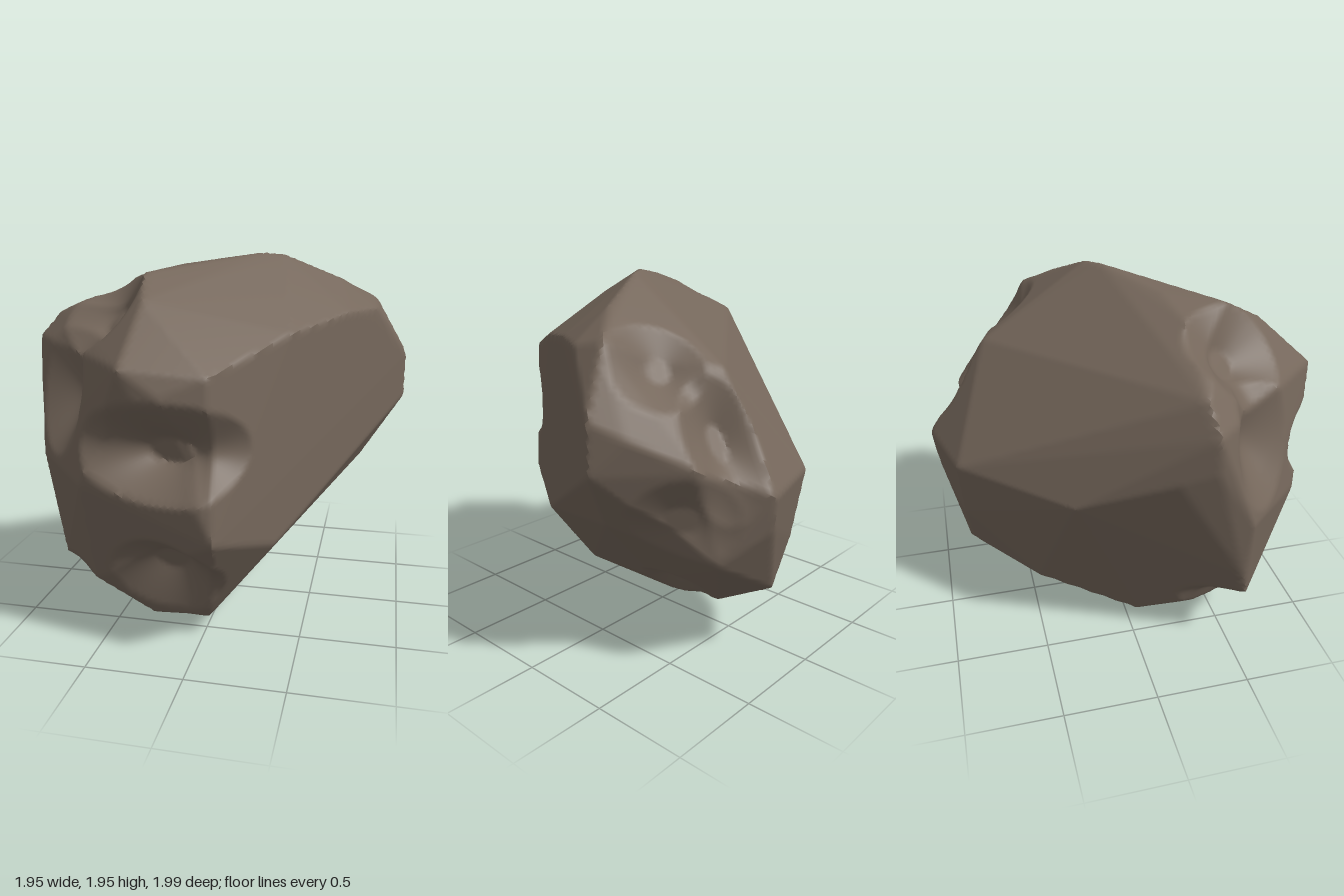
import * as THREE from 'three';
import { toCreasedNormals } from 'three/addons/utils/BufferGeometryUtils.js';
import { ConvexGeometry } from 'three/addons/geometries/ConvexGeometry.js';

const V = (a) => new THREE.Vector3(...a);

// corners of the boulder before chipping, by region
const CORNERS = [
  // flat right-hand cleavage face
  [0.11, 1.46, 0.93], [0.14, 0.68, 0.96], [0.98, 1.38, -0.44], [0.98, 1.13, -0.44], [0.37, 0.55, 0.57],
  [0.42, 1.6, 0.46], [0.67, 1.66, 0.05], [0.81, 1.66, -0.18], [0.62, 0.8, 0.15],
  // crest
  [0.2, 1.96, -0.02], [0.3, 1.95, -0.08], [-0.17, 1.91, 0.2], [-0.4, 1.85, 0.25], [-0.3, 1.88, 0.5],
  [0.6, 1.82, -0.2], [0.8, 1.7, -0.36],
  // blunt front
  [-0.25, 1.77, 0.7], [-0.28, 1.5, 1], [-0.1, 1.38, 1], [-0.54, 0.9, 0.86], [-0.54, 0.34, 0.7],
  // left end
  [-0.98, 1.52, 0.25], [-0.87, 1.65, 0.22], [-0.96, 1.32, 0.27], [-0.88, 0.94, 0.5],
  [-0.81, 0.57, 0.5], [-0.76, 0.4, 0.55],
  // underside
  [-0.2, 0, 0.2], [-0.37, 0.05, 0.05], [-0.54, 0.2, 0.4], [0.03, 0.11, 0.57], [-0.28, 0.09, 0.55],
  [0.02, 0.11, -0.1], [0.28, 0.31, -0.2], [0.1, 0.21, -0.5], [-0.15, 0.22, -0.47], [0.1, 0.4, -0.84],
  [0.75, 0.8, -0.3], [0.5, 0.64, -0.8],
  // back
  [0.33, 1, -1], [0.3, 0.82, -0.97], [-0.1, 1, -0.88], [-0.02, 0.66, -0.86], [-0.62, 1, -0.34],
  [-0.9, 1.25, 0.1], [0.3, 1.55, -0.66], [-0.45, 1.6, -0.1], [0.65, 1.15, -0.82], [0.88, 1.3, -0.58],
].map(V);

// chips: centre, half-sizes, depth
const CHIPS = [
  [[-0.12, 1.1, 0.95], [0.45, 0.25, 0.5], 0.21],   // groove under the brow
  [[-0.78, 1.36, 0.64], [0.26, 0.4, 0.3], 0.13],   // left shoulder
  [[-0.55, 1.74, 0.5], [0.28, 0.3, 0.3], 0.13],    // upper left notch
  [[-0.15, 0.38, 0.8], [0.3, 0.28, 0.4], 0.13],    // lower front hollow
  [[-0.66, 0.25, 0.48], [0.18, 0.18, 0.3], 0.07],  // lower left
  [[0.48, 1.3, -0.83], [0.2, 0.45, 0.25], 0.12],   // back right notch
  [[0.62, 1.62, -0.55], [0.25, 0.25, 0.25], 0.1],  // upper right notch
  [[0.65, 0.88, -0.72], [0.26, 0.24, 0.3], 0.06],  // back right hollow
  [[0.2, 0.28, -0.3], [0.22, 0.25, 0.2], 0.06],    // underside hollow
].map(([c, s, d]) => ({ c: V(c), s: V(s), d }));

// planes of the hull, measured from the boulder's centre
function hullPlanes(center) {
  const pos = new ConvexGeometry(CORNERS).attributes.position;
  const planes = [];
  for (let i = 0; i < pos.count; i += 3) {
    const [a, b, c] = [0, 1, 2].map((k) => new THREE.Vector3().fromBufferAttribute(pos, i + k).sub(center));
    const plane = new THREE.Plane().setFromCoplanarPoints(a, b, c);
    if (plane.normal.lengthSq() > 0.5 && plane.constant < -0.05) planes.push(plane);
  }
  return planes;
}

function boulderGeometry() {
  const center = new THREE.Vector3(0, 1, 0.03);
  const planes = hullPlanes(center);
  const geo = new THREE.IcosahedronGeometry(1, 50);
  geo.deleteAttribute('uv');
  geo.deleteAttribute('normal');
  const pos = geo.attributes.position;
  const dir = new THREE.Vector3(), p = new THREE.Vector3(), q = new THREE.Vector3();
  for (let i = 0; i < pos.count; i++) {
    dir.fromBufferAttribute(pos, i).normalize();
    let r = Infinity;
    for (const { normal, constant } of planes) {
      const k = normal.dot(dir);
      if (k > 1e-4) r = Math.min(r, -constant / k);
    }
    p.copy(dir).multiplyScalar(r).add(center);
    // each chip is a flat-floored, sloping-sided hollow
    let cut = 0;
    for (const { c, s, d } of CHIPS) {
      const t = 1 - q.copy(p).sub(c).divide(s).length();
      cut += d * THREE.MathUtils.clamp(t * 1.5, 0, 1);
    }
    p.addScaledVector(dir, -cut);
    pos.setXYZ(i, p.x, p.y, p.z);
  }
  return toCreasedNormals(geo, 0.7);
}

export function createModel() {
  const group = new THREE.Group();
  group.name = 'rock';
  const boulder = new THREE.Mesh(
    boulderGeometry(),
    new THREE.MeshStandardMaterial({ color: 0x75675b }),
  );
  boulder.name = 'boulder';
  group.add(boulder);
  return group;
}
